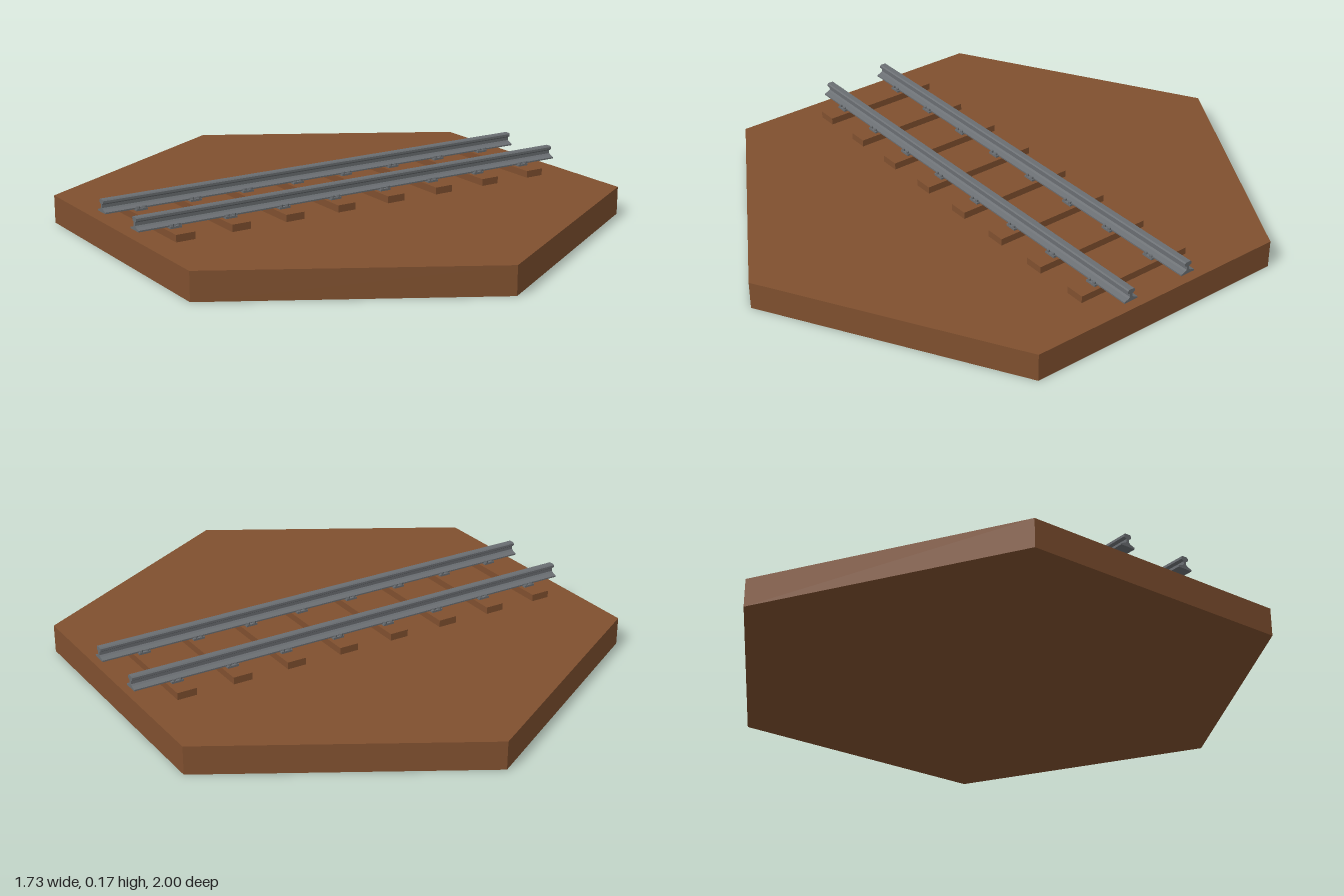
import * as THREE from 'three';

const wood = new THREE.MeshStandardMaterial({ color: 0x80502f, flatShading: true });
const steel = new THREE.MeshStandardMaterial({ color: 0x6a6e72, flatShading: true });

export function createModel() {
  const model = new THREE.Group();
  model.name = 'railTile';

  const add = (name, geometry, material, x, y, z) => {
    const mesh = new THREE.Mesh(geometry, material);
    mesh.name = name;
    mesh.position.set(x, y, z);
    model.add(mesh);
    return mesh;
  };

  // Hexagonal ground tile, points towards front and back
  add('groundTile', new THREE.CylinderGeometry(1, 1, 0.1, 6), wood, 0, 0.05, 0);

  // Rail cross-section: wide foot, thin web, rounded head
  const half = [
    [0.028, 0], [0.028, 0.005], [0.011, 0.011], [0.005, 0.016], [0.005, 0.027],
    [0.014, 0.033], [0.014, 0.041], [0.010, 0.045],
  ];
  const outline = [...half, ...half.map(([x, y]) => [-x, y]).reverse()];
  const profile = new THREE.Shape(outline.map(([x, y]) => new THREE.Vector2(x, y)));
  const length = 1.72;
  const railGeometry = new THREE.ExtrudeGeometry(profile, { depth: length, bevelEnabled: false });
  railGeometry.translate(0, 0, -length / 2).rotateY(Math.PI / 2);

  const gauge = 0.122;
  for (const side of [-1, 1]) {
    add(side > 0 ? 'frontRail' : 'backRail', railGeometry, steel, 0, 0.13, side * gauge);
  }

  // Sleepers, each with a fixing plate and bolts under both rails
  const sleeper = new THREE.BoxGeometry(0.07, 0.027, 0.45);
  const plate = new THREE.BoxGeometry(0.042, 0.008, 0.076);
  const bolt = new THREE.CylinderGeometry(0.006, 0.006, 0.01, 6);
  for (let i = 0; i < 8; i++) {
    const x = -0.73 + i * 0.2055;
    add('sleeper', sleeper, wood, x, 0.1115, 0);
    for (const side of [-1, 1]) {
      add('railPlate', plate, steel, x, 0.128, side * gauge);
      for (const dz of [-0.032, 0.032]) {
        for (const dx of [-0.012, 0.012]) {
          add('bolt', bolt, steel, x + dx, 0.135, side * gauge + dz);
        }
      }
    }
  }
  return model;
}
